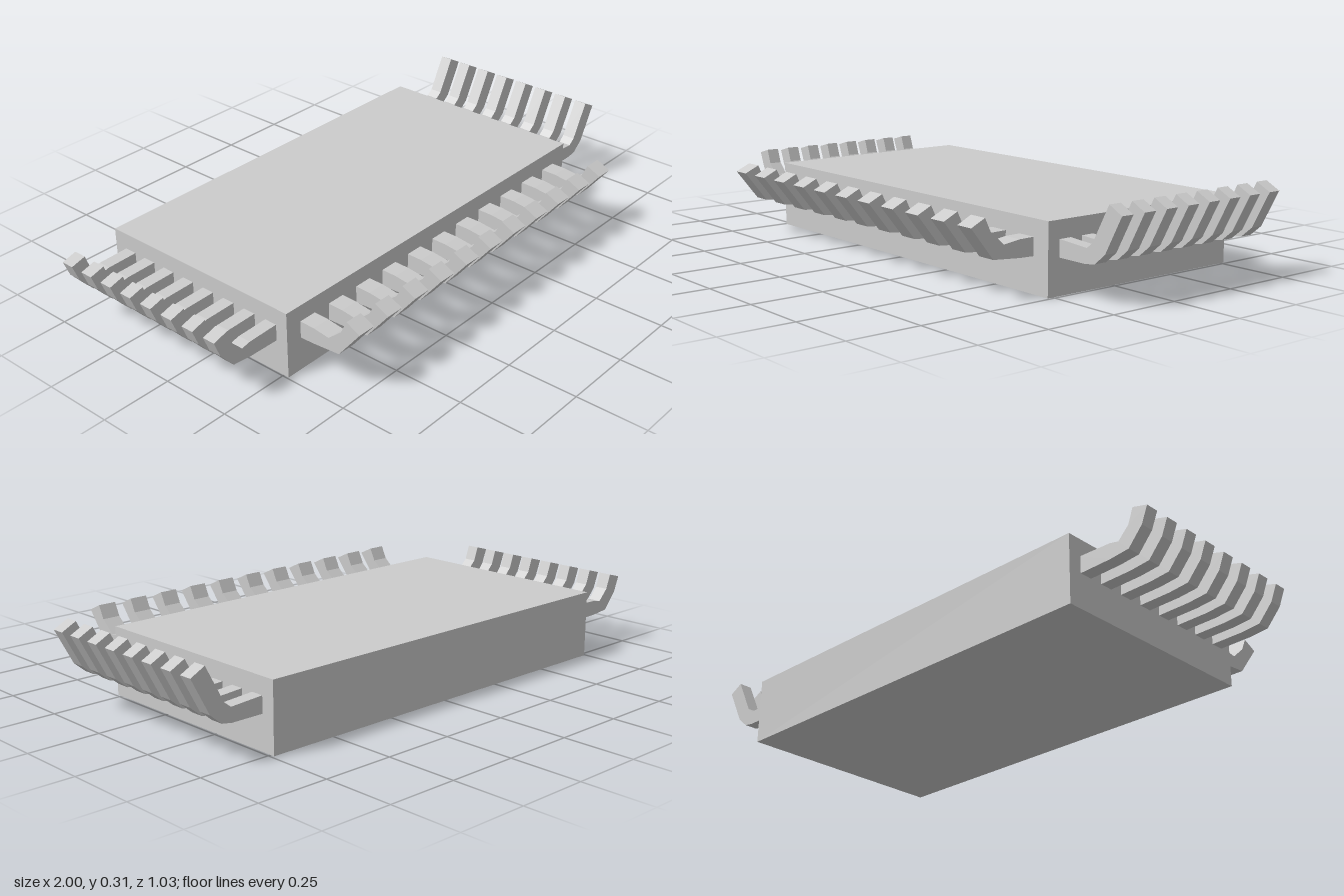
import * as THREE from 'three';

const material = new THREE.MeshStandardMaterial({ color: 0xcccccc, flatShading: true });

// Extrudes a bent pin profile (outward distance, height), centred on its width
function pinGeometry(profile, width) {
  const shape = new THREE.Shape(profile.map(([u, y]) => new THREE.Vector2(u, y)));
  return new THREE.ExtrudeGeometry(shape, { depth: width, bevelEnabled: false })
    .translate(0, 0, -width / 2);
}

// Places a row of evenly spaced pins along one axis
function pinRow(name, geometry, count, start, step, axis) {
  const row = new THREE.Group();
  row.name = name + 'Row';
  for (let i = 0; i < count; i++) {
    const pin = new THREE.Mesh(geometry, material);
    pin.name = name;
    pin.position[axis] = start + i * step;
    row.add(pin);
  }
  return row;
}

export function createModel() {
  const model = new THREE.Group();
  model.name = 'chipPackage';

  // Rectangular body
  const body = new THREE.Mesh(new THREE.BoxGeometry(1.485, 0.235, 0.785), material);
  body.name = 'body';
  body.position.set(-0.002, 0.1175, -0.1225);
  model.add(body);

  // Front pins, curling up towards +z
  const front = pinGeometry([
    [0.265, 0.118], [0.325, 0.12], [0.427, 0.128], [0.511, 0.233], [0.459, 0.258],
    [0.437, 0.213], [0.386, 0.169], [0.325, 0.177], [0.265, 0.178],
  ], 0.065).rotateY(-Math.PI / 2);
  model.add(pinRow('frontPin', front, 11, -0.652, 0.1294, 'x'));

  // Left pins, with a taller straight tip
  const left = pinGeometry([
    [0.735, 0.119], [0.855, 0.119], [0.892, 0.125], [0.934, 0.16], [1, 0.283], [0.948, 0.31],
    [0.882, 0.187], [0.858, 0.168], [0.735, 0.176],
  ], 0.046);
  model.add(pinRow('leftPin', left, 8, -0.443, 0.0921, 'z'));

  // Right pins, with a shorter rounded tip
  const right = pinGeometry([
    [-0.74, 0.119], [-0.857, 0.121], [-0.927, 0.128], [-0.978, 0.187], [-1, 0.243],
    [-0.947, 0.258], [-0.929, 0.207], [-0.89, 0.167], [-0.857, 0.174], [-0.74, 0.177],
  ], 0.046);
  model.add(pinRow('rightPin', right, 8, -0.443, 0.0921, 'z'));

  return model;
}
